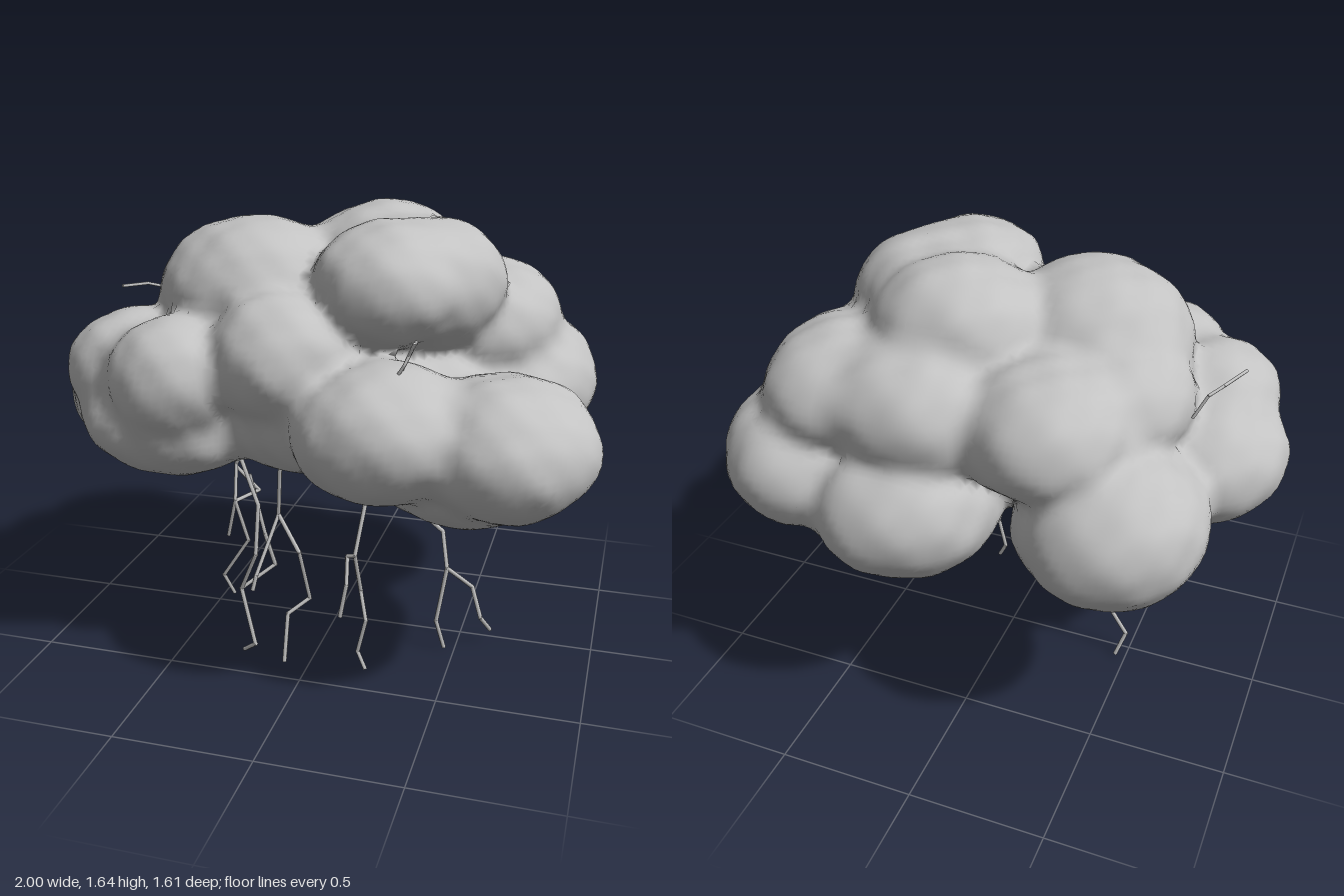
import * as THREE from 'three';

const grey = new THREE.MeshStandardMaterial({ color: 0xc2c2c2 });
grey.name = 'cloud grey';

// Cloud puffs: centre x, y, z, then radii x, y, z
const puffs = [
  [0, 1.0, 0, 0.6, 0.27, 0.45],            // core
  [0.68, 0.945, 0.42, 0.315, 0.235, 0.335], // front left lobes
  [0.53, 0.83, 0.21, 0.37, 0.235, 0.37],
  [0.29, 0.99, 0.51, 0.31, 0.23, 0.295],
  [0.25, 1.415, 0.21, 0.265, 0.215, 0.31], // crown
  [0.38, 1.39, 0.05, 0.24, 0.225, 0.26],
  [-0.27, 1.34, 0.09, 0.35, 0.26, 0.33],
  [0.15, 1.39, -0.13, 0.32, 0.25, 0.3],
  [-0.4, 1.22, -0.1, 0.29, 0.22, 0.3],
  [-0.68, 0.94, 0.1, 0.315, 0.24, 0.32],   // right lobes
  [-0.68, 1.07, 0.27, 0.24, 0.21, 0.26],
  [-0.45, 1.1, 0.46, 0.23, 0.21, 0.23],
  [-0.52, 0.91, 0.28, 0.34, 0.21, 0.33],
  [-0.08, 1.18, 0.41, 0.25, 0.225, 0.25],
  [0, 0.96, 0.22, 0.4, 0.23, 0.34],
  [-0.5, 0.9, -0.38, 0.33, 0.275, 0.34],   // back lobes
  [0.22, 0.88, -0.47, 0.34, 0.26, 0.335],
  [0.62, 0.95, -0.36, 0.305, 0.265, 0.39],
  [0.45, 0.93, -0.2, 0.38, 0.22, 0.32],
  [0.5, 1.2, -0.28, 0.29, 0.22, 0.37],
  [0.2, 1.2, -0.38, 0.34, 0.24, 0.29],
  [-0.26, 1.2, -0.36, 0.29, 0.23, 0.31],
];

// Smoothly blended distance to all puffs, with a little lumpiness
function field(x, y, z) {
  let d = 9;
  const k = 0.06;
  for (const [cx, cy, cz, rx, ry, rz] of puffs) {
    const a = (x - cx) / rx, b = (y - cy) / ry, c = (z - cz) / rz;
    const len = Math.hypot(a, b, c);
    const e = len * (len - 1) / (Math.hypot(a / rx, b / ry, c / rz) + 1e-6);
    const h = Math.max(k - Math.abs(d - e), 0) / k;
    d = Math.min(d, e) - h * h * k / 4;
  }
  const lumps = Math.sin(13 * x + 5 * y) * Math.sin(14 * y - 4 * z) * Math.sin(12 * z + 6 * x);
  const fine = Math.sin(31 * x + 9 * z) * Math.sin(29 * y + 8 * x) * Math.sin(33 * z - 7 * y);
  return d + 0.008 * lumps + 0.004 * fine;
}

function gradient(p) {
  const e = 0.004;
  return new THREE.Vector3(
    field(p.x + e, p.y, p.z) - field(p.x - e, p.y, p.z),
    field(p.x, p.y + e, p.z) - field(p.x, p.y - e, p.z),
    field(p.x, p.y, p.z + e) - field(p.x, p.y, p.z - e)).divideScalar(2 * e);
}

// Skin the field: one vertex per crossed grid cell, one quad per crossed grid edge
function cloudGeometry() {
  const h = 0.03, origin = [-1.11, 0.48, -0.93], n = [75, 42, 63];
  const step = [1, n[0], n[0] * n[1]];
  const total = n[0] * n[1] * n[2];
  const values = new Float32Array(total);
  const at = (i, a) => Math.floor(i / step[a]) % n[a];
  const coord = (i, a, off = 0) => origin[a] + (at(i, a) + off) * h;
  for (let i = 0; i < total; i++) values[i] = field(coord(i, 0), coord(i, 1), coord(i, 2));

  const positions = [], normals = [], index = [], vertexOf = new Map();
  function vertex(cell) {
    if (!vertexOf.has(cell)) {
      const p = new THREE.Vector3(coord(cell, 0, 0.5), coord(cell, 1, 0.5), coord(cell, 2, 0.5));
      for (let t = 0; t < 3; t++) {
        const g = gradient(p);
        const move = -field(p.x, p.y, p.z) / Math.max(g.lengthSq(), 0.2);
        p.addScaledVector(g, THREE.MathUtils.clamp(move, -h, h));
      }
      vertexOf.set(cell, positions.length / 3);
      positions.push(p.x, p.y, p.z);
      normals.push(...gradient(p).normalize().toArray());
    }
    return vertexOf.get(cell);
  }
  for (let i = 0; i < total; i++) {
    if ([0, 1, 2].some(a => at(i, a) < 1 || at(i, a) > n[a] - 2)) continue;
    for (let a = 0; a < 3; a++) {
      const inside = values[i] < 0;
      if (inside === values[i + step[a]] < 0) continue;
      const u = step[(a + 1) % 3], v = step[(a + 2) % 3];
      const q = [i - u - v, i - v, i, i - u].map(vertex);
      if (!inside) q.reverse();
      index.push(q[0], q[1], q[2], q[0], q[2], q[3]);
    }
  }
  const geometry = new THREE.BufferGeometry();
  geometry.setAttribute('position', new THREE.Float32BufferAttribute(positions, 3));
  geometry.setAttribute('normal', new THREE.Float32BufferAttribute(normals, 3));
  geometry.setIndex(index);
  return geometry;
}

// Jagged bolt: thin rods from point to point
function bolt(name, points, radius = 0.008) {
  const group = new THREE.Group();
  group.name = name;
  for (let i = 1; i < points.length; i++) {
    const a = new THREE.Vector3(...points[i - 1]), b = new THREE.Vector3(...points[i]);
    const dir = b.clone().sub(a);
    const rod = new THREE.Mesh(new THREE.CylinderGeometry(radius, radius, dir.length() + radius, 6), grey);
    rod.name = 'boltSegment';
    rod.position.copy(a).add(b).multiplyScalar(0.5);
    rod.quaternion.setFromUnitVectors(new THREE.Vector3(0, 1, 0), dir.normalize());
    group.add(rod);
  }
  return group;
}

export function createModel() {
  const model = new THREE.Group();
  model.name = 'stormCloud';
  const cloud = new THREE.Mesh(cloudGeometry(), grey);
  cloud.name = 'cloud';
  model.add(cloud);

  // Lightning below the cloud
  model.add(
    bolt('rightBolt', [[-0.34, 0.8, -0.02], [-0.43, 0.59, -0.05], [-0.42, 0.45, 0], [-0.38, 0.27, -0.03], [-0.49, 0.1, -0.03], [-0.46, 0.01, -0.06]]),
    bolt('rightBoltBranch', [[-0.43, 0.57, -0.06], [-0.35, 0.47, -0.09], [-0.42, 0.45, 0], [-0.46, 0.29, -0.02]]),
    bolt('midRightBolt', [[-0.28, 0.77, 0.3], [-0.2, 0.6, 0.34], [-0.2, 0.42, 0.38], [-0.27, 0.26, 0.35], [-0.21, 0.05, 0.38], [-0.26, 0.01, 0.36]]),
    bolt('midRightBoltBranch', [[-0.24, 0.7, 0.31], [-0.19, 0.47, 0.3], [-0.16, 0.34, 0.28], [-0.27, 0.26, 0.35]]),
    bolt('middleBolt', [[-0.12, 0.78, 0.32], [-0.14, 0.55, 0.29], [-0.04, 0.44, 0.36], [-0.02, 0.23, 0.3], [-0.09, 0.18, 0.35], [-0.09, 0.01, 0.4]]),
    bolt('middleBoltBranch', [[-0.14, 0.55, 0.29], [-0.19, 0.35, 0.41], [-0.2, 0.3, 0.42]]),
    bolt('midLeftBolt', [[0.15, 0.8, 0.28], [0.1, 0.67, 0.32], [0.19, 0.64, 0.3], [0.17, 0.46, 0.37], [0.18, 0.3, 0.32], [0.21, 0.2, 0.36], [0.18, 0.07, 0.36], [0.21, 0.01, 0.37]]),
    bolt('midLeftBoltBranch', [[0.17, 0.46, 0.37], [0.14, 0.45, 0.36], [0.15, 0.36, 0.41], [0.13, 0.24, 0.42]]),
    bolt('leftBolt', [[0.3, 0.68, 0.13], [0.38, 0.49, 0.06], [0.43, 0.45, 0.06], [0.46, 0.33, 0.12], [0.43, 0.12, 0.15], [0.46, 0.01, 0.14]]),
    bolt('leftBoltBranch', [[0.46, 0.33, 0.12], [0.55, 0.24, 0.07], [0.59, 0.13, 0.1], [0.62, 0.06, 0.05]]),
    // Small sparks above the cloud
    bolt('rightSpark', [[-0.69, 1.2, -0.12], [-0.73, 1.28, -0.1], [-0.77, 1.3, -0.05], [-0.82, 1.31, 0.06]], 0.006),
    bolt('leftSpark', [[0.35, 1.19, 0.57], [0.38, 1.24, 0.57], [0.41, 1.31, 0.54]], 0.006),
    bolt('leftSparkBranch', [[0.36, 1.2, 0.54], [0.41, 1.31, 0.57]], 0.006),
  );
  return model;
}
